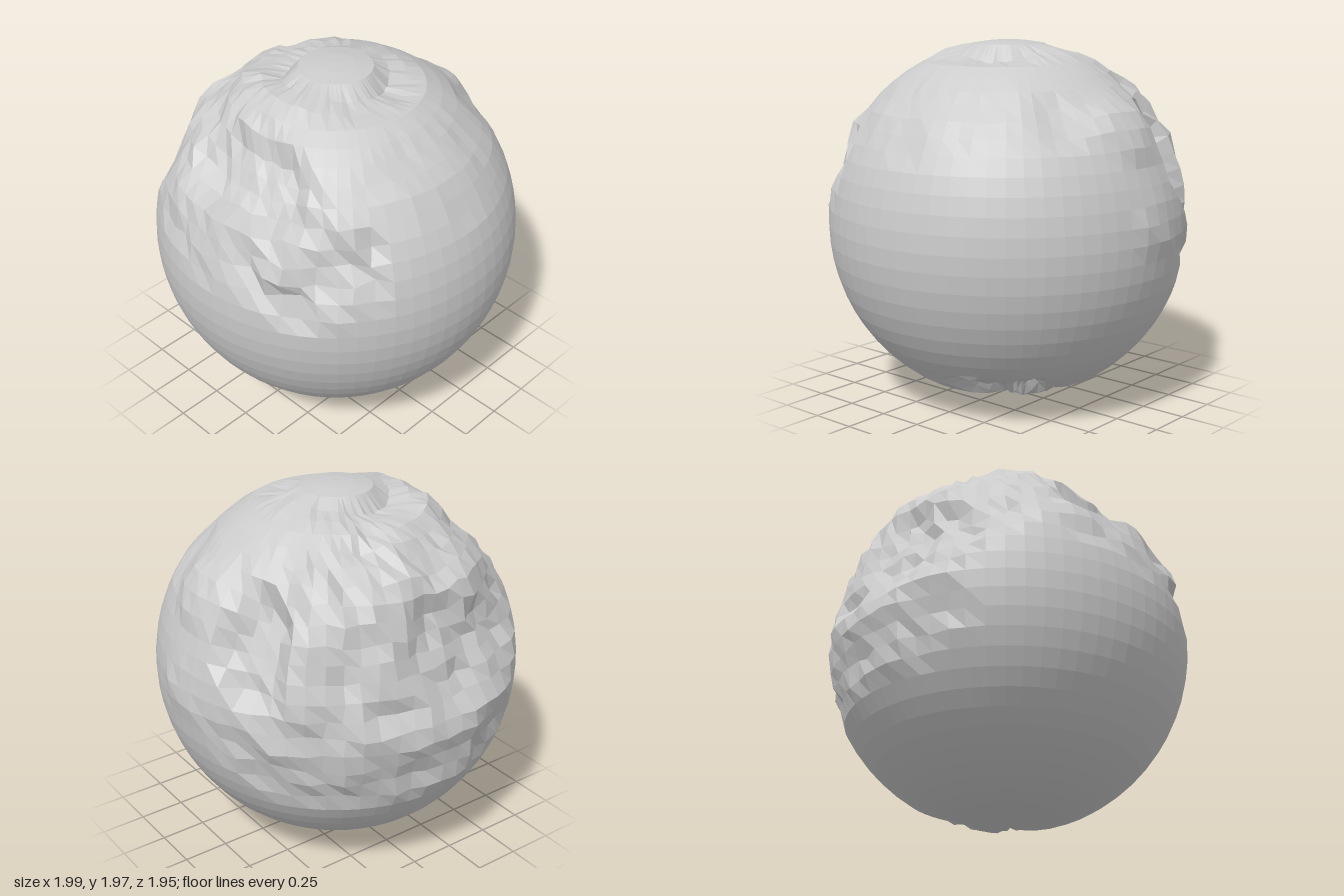
import * as THREE from 'three';

const R = 0.987, DEG = Math.PI / 180, COLS = 64, ROWS = 32;

// Repeatable value from -1 to 1 for a grid cell
function hash(a, b, seed) {
  let h = Math.imul(a + 1, 374761393) + Math.imul(b + 1, 668265263) + Math.imul(seed, 974634777);
  h = Math.imul(h ^ (h >>> 13), 1274126177);
  h = Math.imul(h ^ (h >>> 16), 2246822519);
  return ((h ^ (h >>> 15)) >>> 0) / 2147483648 - 1;
}

// Soft lumps a few faces wide
function lumps({ x, y, z }) {
  return (Math.sin(17 * x + 9 * y) + Math.sin(15 * y - 13 * z + 2) + Math.sin(16 * z + 11 * x + 4)) / 2;
}

// Patches: lon (0 front, 90 left +x, 180 back), lat, half width, half height,
// push (negative carves in), rough (random jitter), edge (where the fall-off starts)
const patches = [
  // weathered upper band
  [10, 42, 62, 20, -0.008, 0.008, 0.6],
  [185, 44, 100, 26, -0.012, 0.026, 0.7],
  // back: broken wall, smooth bowl, ragged lower edge
  [180, 18, 45, 22, -0.055, 0.02, 0.7],
  [184, 20, 20, 20, -0.07, 0.005, 0.5],
  [145, -8, 42, 20, -0.02, 0.022, 0.85],
  [190, -12, 28, 12, -0.012, 0.022, 0.8],
  [215, 24, 20, 13, -0.03, 0.025, 0.7],
  // left side: smooth shoulder, cleft behind it, broken rib
  [88, 36, 20, 13, 0.04, 0.008, 0.4],
  [90, 5, 14, 9, 0.02, 0.014, 0.5],
  [117, 24, 13, 20, -0.1, 0.015, 0.7],
  [138, 34, 10, 18, 0.02, 0.025, 0.5],
  [60, 40, 12, 12, -0.02, 0.008, 0.4],
  // right side: cut ledge and spiky rubble
  [-85, 43, 34, 15, -0.1, 0.02, 0.65],
  [-54, 22, 27, 19, -0.03, 0.04, 0.8],
  [-90, 20, 30, 10, -0.01, 0.025, 0.7],
  // raised crumbs beside the top cap
  [-120, 64, 50, 12, 0.025, 0.02, 0.4],
  // bottom crater
  [32, -65, 41, 21, -0.08, 0.02, 0.75],
  [90, -68, 40, 10, -0.025, 0.018, 0.7],
];

function displace(col, row) {
  const lon = (col * 360) / COLS, polar = (row * 180) / ROWS, lat = 90 - polar;
  const dir = new THREE.Vector3().setFromSphericalCoords(1, polar * DEG, lon * DEG);
  let push = 0, rough = 0;
  for (const [pLon, pLat, w, h, depth, jitter, edge] of patches) {
    const dLon = ((lon - pLon + 900) % 360) - 180;
    const m = 1 - THREE.MathUtils.smoothstep(Math.hypot(dLon / w, (lat - pLat) / h), edge, 1);
    push += depth * m;
    rough = Math.max(rough, jitter * m);
  }
  push = Math.max(push, -0.15);
  // moat around the flat top cap, deepest at front and back
  if (polar > 14 && polar < 27) {
    const depth = 0.035 + 0.035 * Math.cos(2 * (lon - 15) * DEG);
    push -= polar < 20 ? depth : depth * 0.5;
    rough = Math.max(rough, 0.012);
  }
  // smooth caps at both poles
  if (polar < 14 || polar > 176) push = rough = 0;

  const bump = 0.6 * lumps(dir) + 0.7 * hash(col, row, 1);
  const p = dir.clone().multiplyScalar(R + push + rough * bump);
  // sideways shift keeps the broken faces irregular
  const side = rough * 0.6 * Math.sin(polar * DEG);
  const east = new THREE.Vector3(Math.cos(lon * DEG), 0, -Math.sin(lon * DEG));
  const north = dir.clone().cross(east);
  return p.addScaledVector(east, side * hash(col, row, 2)).addScaledVector(north, side * hash(col, row, 3));
}

export function createModel() {
  const group = new THREE.Group();
  group.name = 'weatheredBoulder';

  // sphere grid; its first and last columns share the same displacement
  const geometry = new THREE.SphereGeometry(1, COLS, ROWS, -Math.PI / 2);
  const pos = geometry.attributes.position;
  const v = new THREE.Vector3();
  for (let i = 0; i < pos.count; i++) {
    const row = Math.floor(i / (COLS + 1));
    v.fromBufferAttribute(pos, i);
    const col = Math.round(((Math.atan2(v.x, v.z) / (2 * Math.PI)) + 1) * COLS) % COLS;
    const p = displace(col, row);
    pos.setXYZ(i, p.x, p.y, p.z);
  }
  geometry.translate(-0.01, R, -0.005);
  geometry.computeVertexNormals();

  const material = new THREE.MeshStandardMaterial({
    color: 0xcccccc, flatShading: true, side: THREE.DoubleSide,
  });
  const rock = new THREE.Mesh(geometry, material);
  rock.name = 'rockSurface';
  group.add(rock);
  return group;
}
